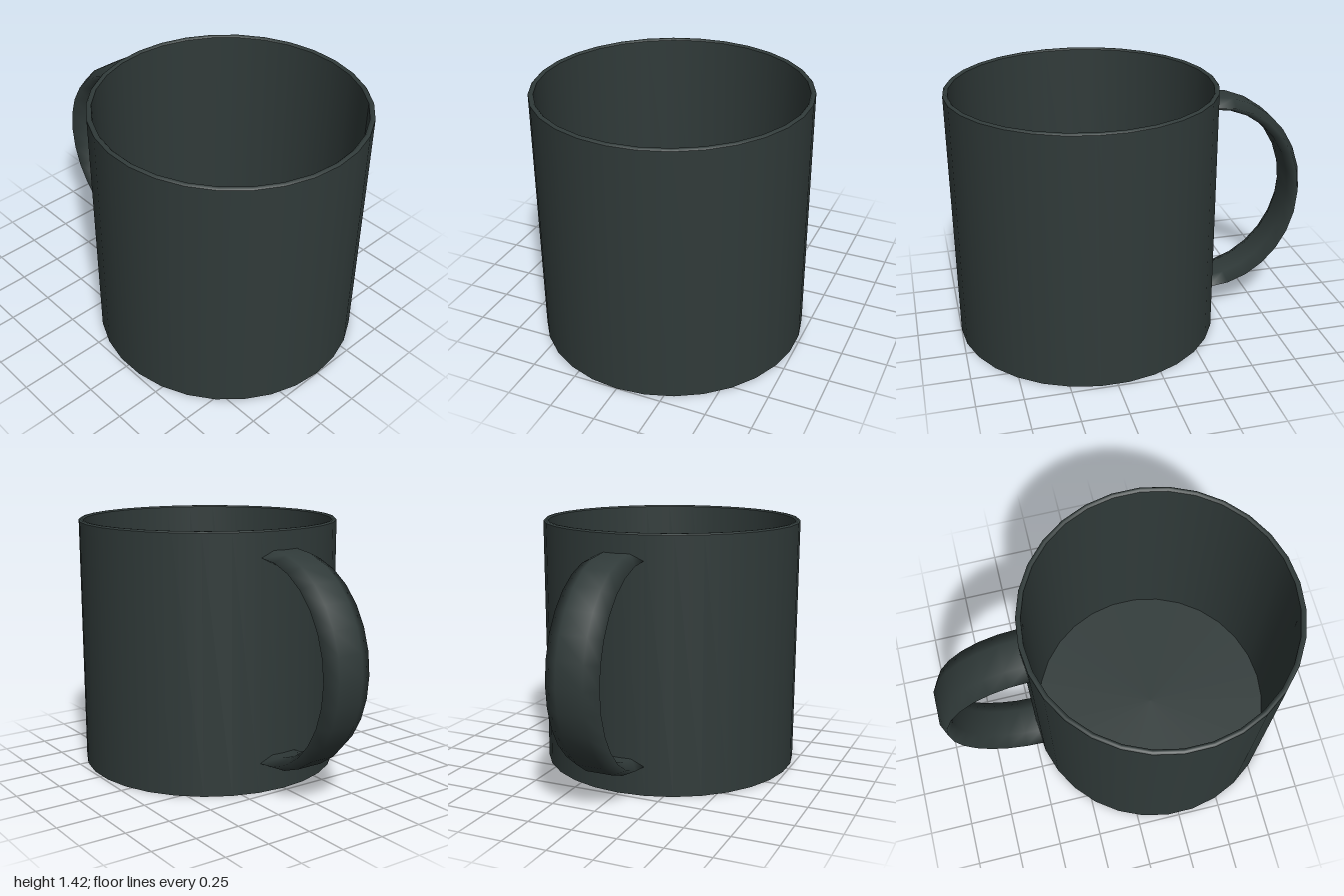
import * as THREE from 'three';

const SIDES = 30;        // facets around the cup
const CUP_Z = 0.263;     // cup axis
const R = 0.737, H = 1.42, WALL = 0.027, FLOOR = 0.03;

const charcoal = new THREE.MeshStandardMaterial({ color: 0x303a39 });
charcoal.name = 'charcoal glaze';

// Turned surface; profile runs base centre -> outside -> rim -> inside
function turned(name, profile) {
  const points = profile.map(([r, y]) => new THREE.Vector2(r, y));
  const mesh = new THREE.Mesh(new THREE.LatheGeometry(points, SIDES), charcoal);
  mesh.name = name;
  return mesh;
}

// Flattened hexagonal band swept along a half ellipse in the yz plane
function handleGeometry() {
  const steps = 14, ring = 6;
  const cy = 0.722, cz = -0.45, a = 0.514, b = 0.557;
  const halfWidth = 0.15, halfThick = 0.041;
  const positions = [], index = [];
  for (let i = 0; i <= steps; i++) {
    const t = Math.PI / 2 - (i / steps) * Math.PI;
    const n = new THREE.Vector2(-Math.cos(t) / a, Math.sin(t) / b).normalize();
    for (let j = 0; j < ring; j++) {
      const p = (j / ring) * Math.PI * 2;
      const out = halfThick * Math.sin(p);
      positions.push(
        halfWidth * Math.cos(p),
        cy + b * Math.sin(t) + n.y * out,
        cz - a * Math.cos(t) + n.x * out
      );
      if (i < steps) {
        const k = (j + 1) % ring;
        const p0 = i * ring + j, p1 = p0 + ring;
        const q0 = i * ring + k, q1 = q0 + ring;
        index.push(p0, p1, q1, p0, q1, q0);
      }
    }
  }
  const geometry = new THREE.BufferGeometry();
  geometry.setAttribute('position', new THREE.Float32BufferAttribute(positions, 3));
  geometry.setIndex(index);
  geometry.computeVertexNormals();
  return geometry;
}

export function createModel() {
  const mug = new THREE.Group();
  mug.name = 'mug';

  // Cup, in separate pieces so the corners stay crisp
  const cup = new THREE.Group();
  cup.name = 'cup';
  cup.position.z = CUP_Z;
  const inner = R - WALL, bevel = 0.008;
  cup.add(
    turned('base', [[0, 0], [R, 0]]),
    turned('outerWall', [[R, 0], [R, H - bevel]]),
    turned('rim', [[R, H - bevel], [R - bevel, H], [inner + bevel, H], [inner, H - bevel]]),
    turned('innerWall', [[inner, H - bevel], [inner, FLOOR]]),
    turned('innerFloor', [[inner, FLOOR], [0, FLOOR]])
  );
  mug.add(cup);

  // Handle at the back, its ends buried in the wall
  const handle = new THREE.Mesh(handleGeometry(), charcoal);
  handle.name = 'handle';
  mug.add(handle);

  return mug;
}
